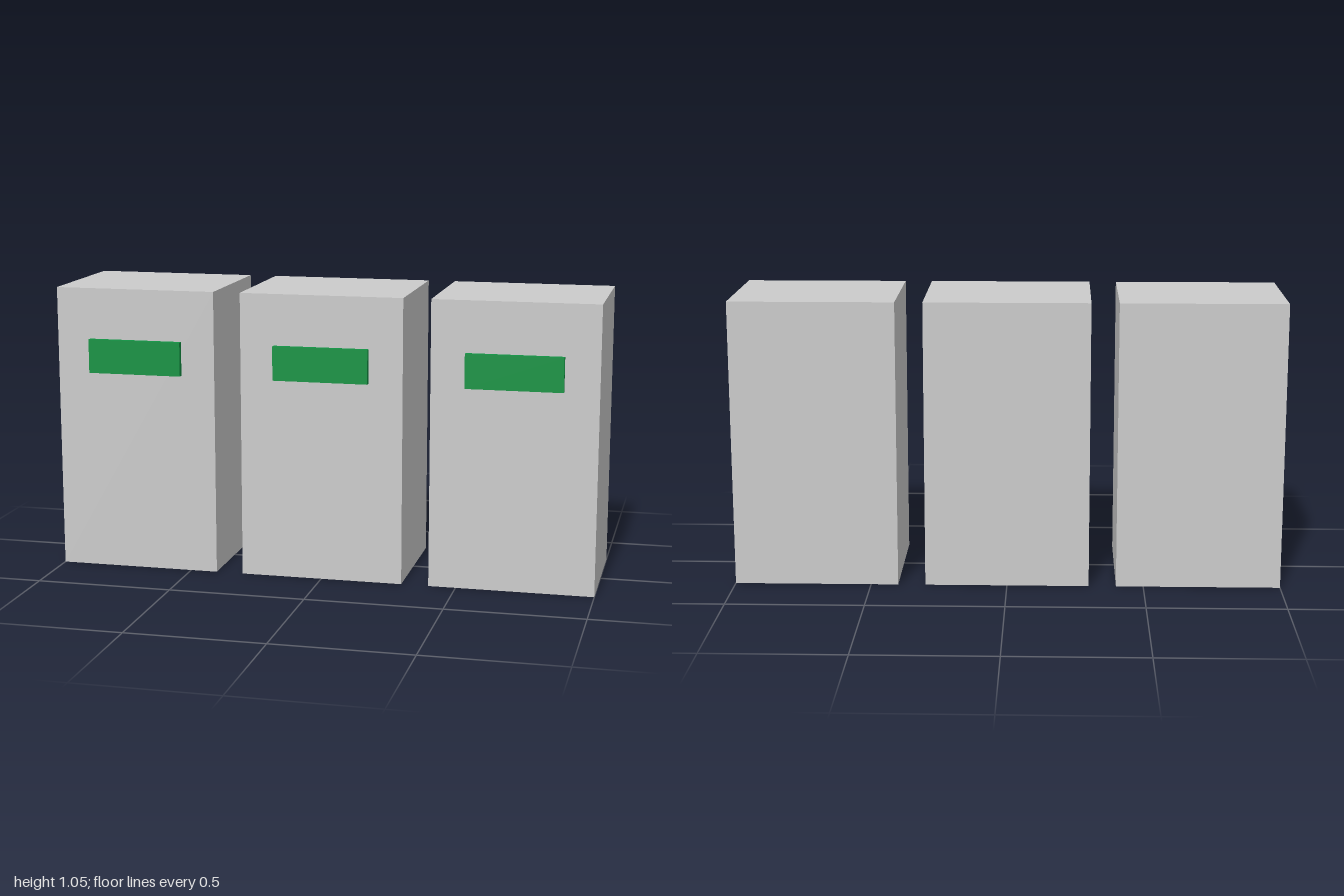
import * as THREE from 'three';

export function createModel() {
  const model = new THREE.Group();
  model.name = 'cabinetRow';

  const grey = new THREE.MeshStandardMaterial({ color: 0xcccccc });
  const green = new THREE.MeshStandardMaterial({ color: 0x119343 });

  const bodyGeometry = new THREE.BoxGeometry(0.6, 1.05, 0.5);
  const panelGeometry = new THREE.BoxGeometry(0.35, 0.125, 0.02);

  // Three identical cabinets side by side
  ['right', 'middle', 'left'].forEach((side, i) => {
    const cabinet = new THREE.Group();
    cabinet.name = side + 'Cabinet';
    cabinet.position.x = (i - 1) * 0.7;

    const body = new THREE.Mesh(bodyGeometry, grey);
    body.name = 'body';
    body.position.set(0, 0.525, -0.01);

    // Thin panel standing proud of the front face
    const panel = new THREE.Mesh(panelGeometry, green);
    panel.name = 'frontPanel';
    panel.position.set(0, 0.8, 0.25);

    cabinet.add(body, panel);
    model.add(cabinet);
  });

  return model;
}
